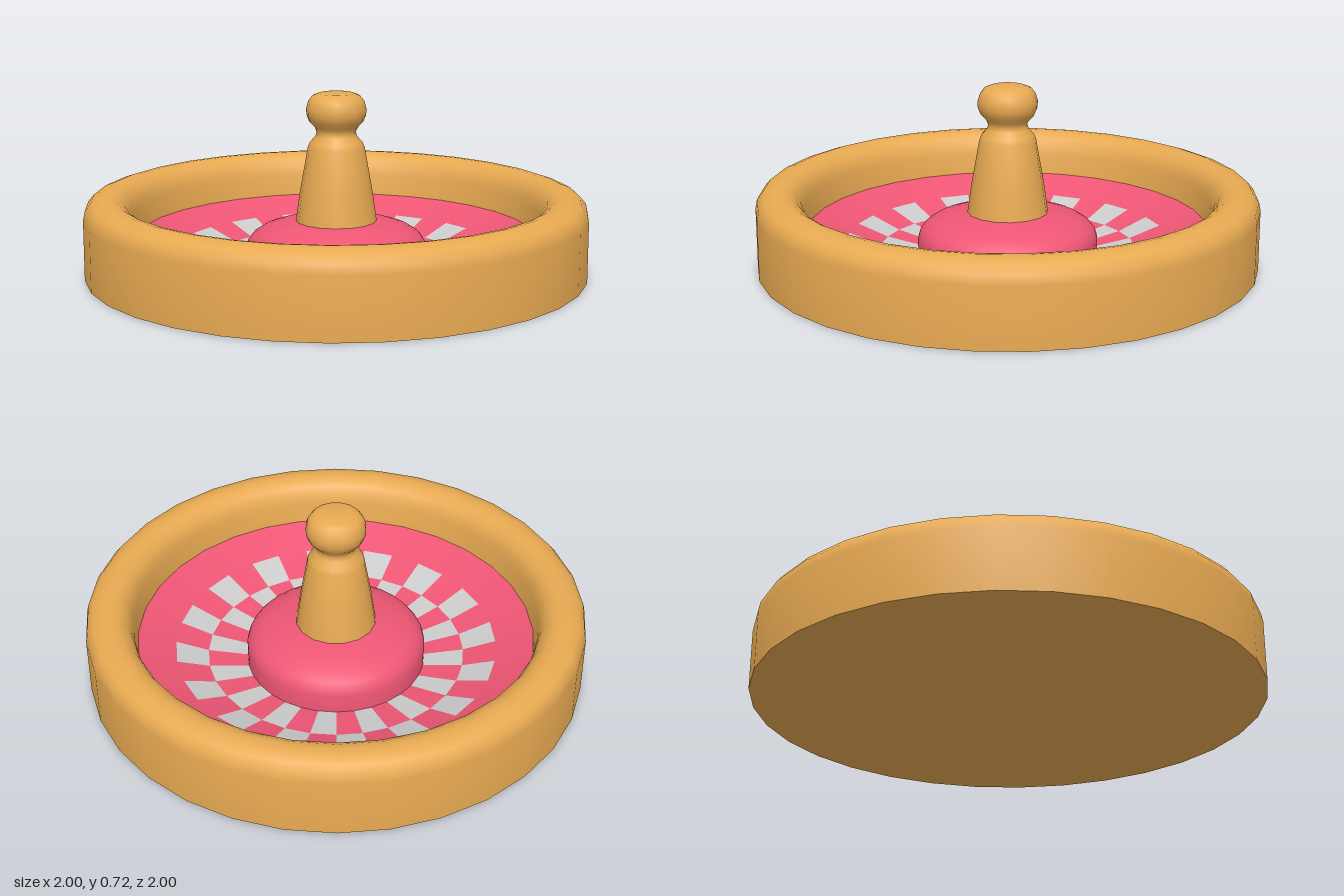
import * as THREE from 'three';
import { mergeGeometries, toCreasedNormals } from 'three/addons/utils/BufferGeometryUtils.js';

const SEGMENTS = 32;
const wood = new THREE.MeshStandardMaterial({ color: 0xe8aa52 });
const pink = new THREE.MeshStandardMaterial({ color: 0xee5674 });
const grey = new THREE.MeshStandardMaterial({ color: 0xcccccc });

const toPoints = (profile) => profile.map(([r, y]) => new THREE.Vector2(r, y));

// Turned part: smooth around, sharp where the profile turns hard
function turned(name, profile, material, segments = SEGMENTS) {
  const geometry = toCreasedNormals(new THREE.LatheGeometry(toPoints(profile), segments), 0.9);
  const mesh = new THREE.Mesh(geometry, material);
  mesh.name = name;
  return mesh;
}

// Two rings of alternating pockets inside a plain sloping ring
function createBowl() {
  const bowl = new THREE.Group();
  bowl.name = 'bowl';
  const edge = [[0.81, 0.147], [0.65, 0.088]];
  const rings = [
    [[0.65, 0.088], [0.52, 0.045]],
    [[0.52, 0.045], [0.35, 0.02]],
  ];
  const pinkTiles = [new THREE.LatheGeometry(toPoints(edge), SEGMENTS)];
  const greyTiles = [];
  const step = (Math.PI * 2) / SEGMENTS;
  rings.forEach((ring, row) => {
    for (let i = 0; i < SEGMENTS; i++) {
      const tile = new THREE.LatheGeometry(toPoints(ring), 1, i * step, step);
      ((i + row) % 2 ? greyTiles : pinkTiles).push(tile);
    }
  });
  const slope = new THREE.Mesh(mergeGeometries(pinkTiles), pink);
  slope.name = 'bowlSlope';
  const pockets = new THREE.Mesh(mergeGeometries(greyTiles), grey);
  pockets.name = 'greyPockets';
  bowl.add(slope, pockets);
  return bowl;
}

export function createModel() {
  const model = new THREE.Group();
  model.name = 'spinningWheel';

  // Closed base, outer wall, rounded lip and inner wall
  model.add(turned('rim', [
    [0, 0], [1, 0], [1, 0.24], [0.993, 0.275], [0.97, 0.303], [0.93, 0.317],
    [0.9, 0.32], [0.87, 0.314], [0.84, 0.295], [0.822, 0.265], [0.812, 0.23], [0.8, 0.14],
  ], wood));

  model.add(createBowl());

  // Domed hub in the middle of the bowl
  model.add(turned('hub', [
    [0.36, 0.015], [0.36, 0.1], [0.352, 0.125], [0.335, 0.147],
    [0.3, 0.17], [0.24, 0.19], [0.12, 0.212],
  ], pink));

  // Tapered spindle with a neck and a flat-topped knob
  model.add(turned('spindle', [
    [0.162, 0.2], [0.145, 0.32], [0.113, 0.5], [0.105, 0.52], [0.083, 0.545], [0.077, 0.562],
    [0.085, 0.58], [0.107, 0.603], [0.118, 0.63], [0.119, 0.655], [0.111, 0.685],
    [0.095, 0.706], [0.07, 0.716], [0, 0.717],
  ], wood, 16));

  return model;
}
